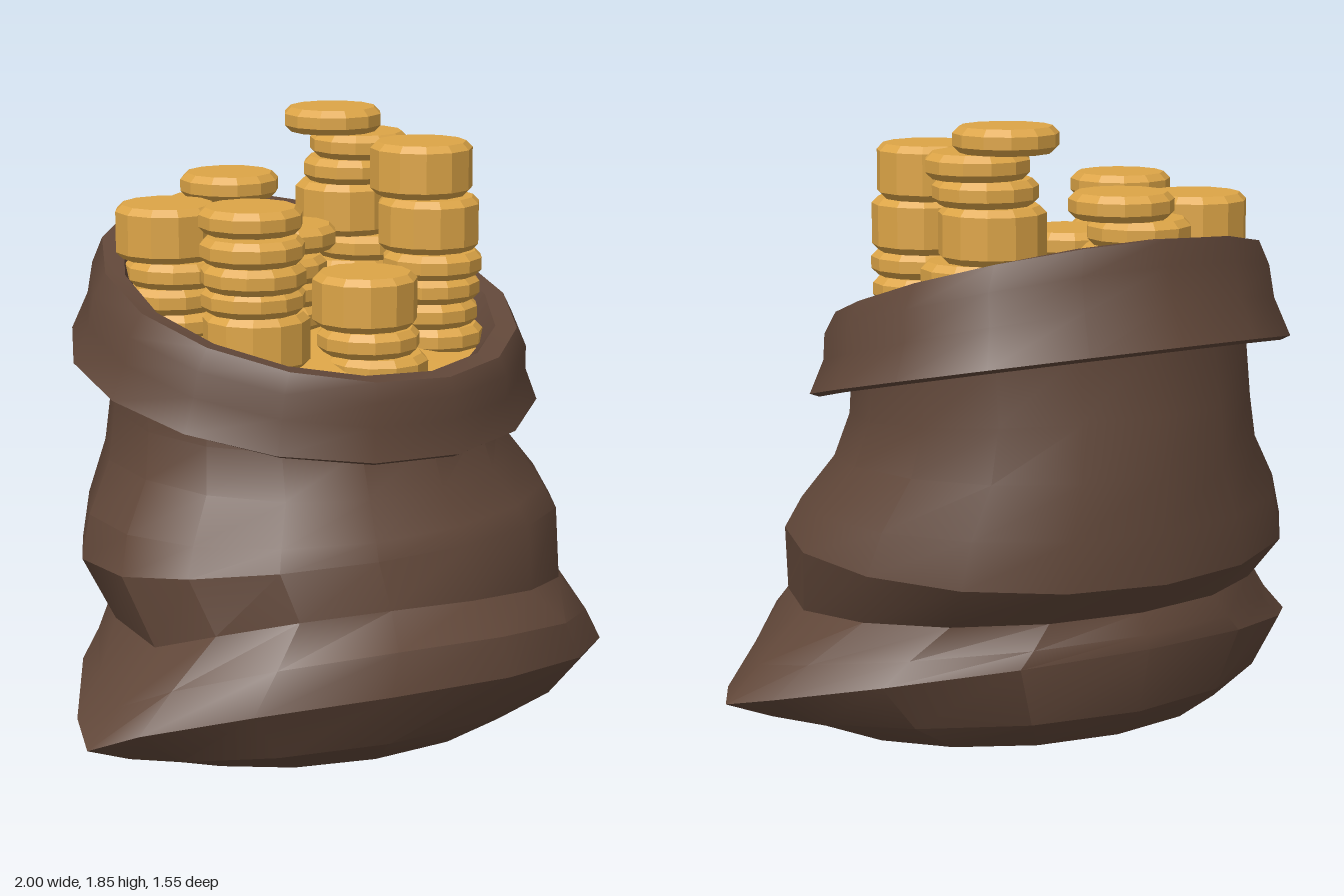
import * as THREE from 'three';
import { toCreasedNormals } from 'three/addons/utils/BufferGeometryUtils.js';

const SIDES = 16;

// Loft through rings: [halfWidth, zFront, zSide, zBack, yFront, ySide, yBack, pinch, lean]
// pinch above 1 draws the sides of the ring out into points; lean lifts the front towards -x.
function loft(rings, crease) {
  const pos = [], index = [];
  for (const [w, zf, zs, zb, yf, ys, yb, pinch = 1, lean = 0] of rings) {
    for (let j = 0; j < SIDES; j++) {
      const t = (j / SIDES) * Math.PI * 2;
      const x = w * Math.sin(t), c = Math.cos(t), k = Math.pow(Math.abs(c), pinch);
      pos.push(x, ys + ((c > 0 ? yf : yb) - ys) * k - lean * x * Math.max(0, c), zs + ((c > 0 ? zf : zb) - zs) * k);
    }
  }
  for (let i = 0; i < rings.length - 1; i++) {
    for (let j = 0; j < SIDES; j++) {
      const a = i * SIDES + j, b = i * SIDES + (j + 1) % SIDES;
      if (rings[i][0] > 0) index.push(a, b, b + SIDES);
      if (rings[i + 1][0] > 0) index.push(a, b + SIDES, a + SIDES);
    }
  }
  const g = new THREE.BufferGeometry();
  g.setAttribute('position', new THREE.Float32BufferAttribute(pos, 3));
  g.setIndex(index);
  return toCreasedNormals(g, crease);
}

// Coin with bevelled edges, standing on y = 0
function coinGeometry(height, r) {
  const b = 0.02;
  return new THREE.LatheGeometry([
    [0, 0], [r - b, 0], [r, b], [r, height - b], [r - b, height], [0, height],
  ].map(([x, y]) => new THREE.Vector2(x, y)), 12);
}

export function createModel() {
  const model = new THREE.Group();
  const cloth = new THREE.MeshStandardMaterial({ color: 0x614739 });
  cloth.name = 'brown cloth';
  const gold = new THREE.MeshStandardMaterial({ color: 0xdda547, flatShading: true });
  gold.name = 'gold';

  const add = (parent, name, geometry, material) => {
    const mesh = new THREE.Mesh(geometry, material);
    mesh.name = name;
    parent.add(mesh);
    return mesh;
  };

  // Slumped body with pointed bottom corners and two folds, running up inside the cuff
  add(model, 'sackBody', loft([
    [0, -0.1, -0.1, -0.1, 0, 0, 0],
    [0.4, 0.3, 0, -0.32, 0.03, 0.02, 0.01],
    [0.66, 0.53, 0.05, -0.46, 0.07, 0.055, 0.06, 1.1],
    [0.85, 0.69, 0.1, -0.57, 0.18, 0.11, 0.16, 1.4],
    [1.0, 0.78, 0.1, -0.62, 0.335, 0.172, 0.36, 1.65, 0.08],
    [0.89, 0.75, 0.1, -0.61, 0.45, 0.275, 0.4, 1.45, 0.1],
    [0.745, 0.63, 0.09, -0.58, 0.53, 0.42, 0.46, 1, 0.11],
    [0.79, 0.6, 0, -0.7, 0.69, 0.62, 0.57, 1, 0.02],
    [0.745, 0.57, -0.03, -0.695, 0.74, 0.73, 0.72],
    [0.65, 0.5, -0.06, -0.685, 0.84, 0.87, 0.88],
    [0.615, 0.45, -0.09, -0.67, 0.97, 1.0, 1.05],
    [0.61, 0.455, -0.1, -0.635, 1.04, 1.13, 1.24],
    [0.62, 0.48, -0.09, -0.65, 1.13, 1.29, 1.48],
  ], 0.5), cloth);

  // Rolled cuff, from its lip over the rim and down inside
  add(model, 'sackCuff', loft([
    [0.705, 0.545, -0.1, -0.75, 0.945, 1.1, 1.25],
    [0.735, 0.565, -0.1, -0.775, 0.955, 1.11, 1.265],
    [0.69, 0.54, -0.1, -0.72, 1.05, 1.21, 1.38],
    [0.68, 0.545, -0.09, -0.7, 1.12, 1.29, 1.48],
    [0.64, 0.525, -0.08, -0.685, 1.175, 1.355, 1.555],
    [0.585, 0.45, -0.08, -0.61, 1.18, 1.35, 1.545],
    [0.51, 0.375, -0.08, -0.53, 1.1, 1.2, 1.3],
  ], 0.75), cloth);

  // Bed of gold filling the mouth
  add(model, 'goldBed', loft([
    [0.53, 0.39, -0.08, -0.545, 1.13, 1.23, 1.33],
    [0, -0.08, -0.08, -0.08, 1.25, 1.25, 1.25],
  ], 0.5), gold);

  // Coin stacks: top centre x and z, top height, drift of the lower coins in x and z,
  // thicknesses from the top down (T thin, K thick)
  const coins = { T: coinGeometry(0.075, 0.152), K: coinGeometry(0.16, 0.155) };
  const heights = { T: 0.075, K: 0.16 };
  const stacks = [
    ['leftFrontStack', 0.32, 0.065, 1.775, -0.02, 0.07, 'KKTTTT'],
    ['leftBackStack', 0.275, -0.285, 1.85, 0.07, 0.06, 'TTTKTTT'],
    ['backStack', -0.02, -0.43, 1.66, -0.05, -0.01, 'TTTTT'],
    ['centreStack', -0.005, -0.18, 1.53, -0.09, 0.05, 'TTTTT'],
    ['frontStack', -0.015, 0.18, 1.435, 0, 0.03, 'KTTT'],
    ['rightFrontStack', -0.35, 0.06, 1.65, -0.04, 0.06, 'TTTTK'],
    ['rightBackStack', -0.38, -0.285, 1.62, 0.01, 0.02, 'KTTT'],
  ];
  let seed = 7;
  const rand = () => (seed = (seed * 16807) % 2147483647) / 2147483647;
  for (const [name, x, z, top, dx, dz, kinds] of stacks) {
    const stack = new THREE.Group();
    stack.name = name;
    let y = top;
    [...kinds].forEach((kind, i) => {
      y -= heights[kind];
      const coin = add(stack, 'coin', coins[kind], gold);
      const drift = i ? 0.4 + 0.6 * rand() : 0;
      const jitter = i ? 0.03 : 0;
      coin.position.set(x + dx * drift + jitter * (rand() - 0.5), y, z + dz * drift + jitter * (rand() - 0.5));
      coin.rotation.y = rand() * Math.PI;
    });
    model.add(stack);
  }
  return model;
}
